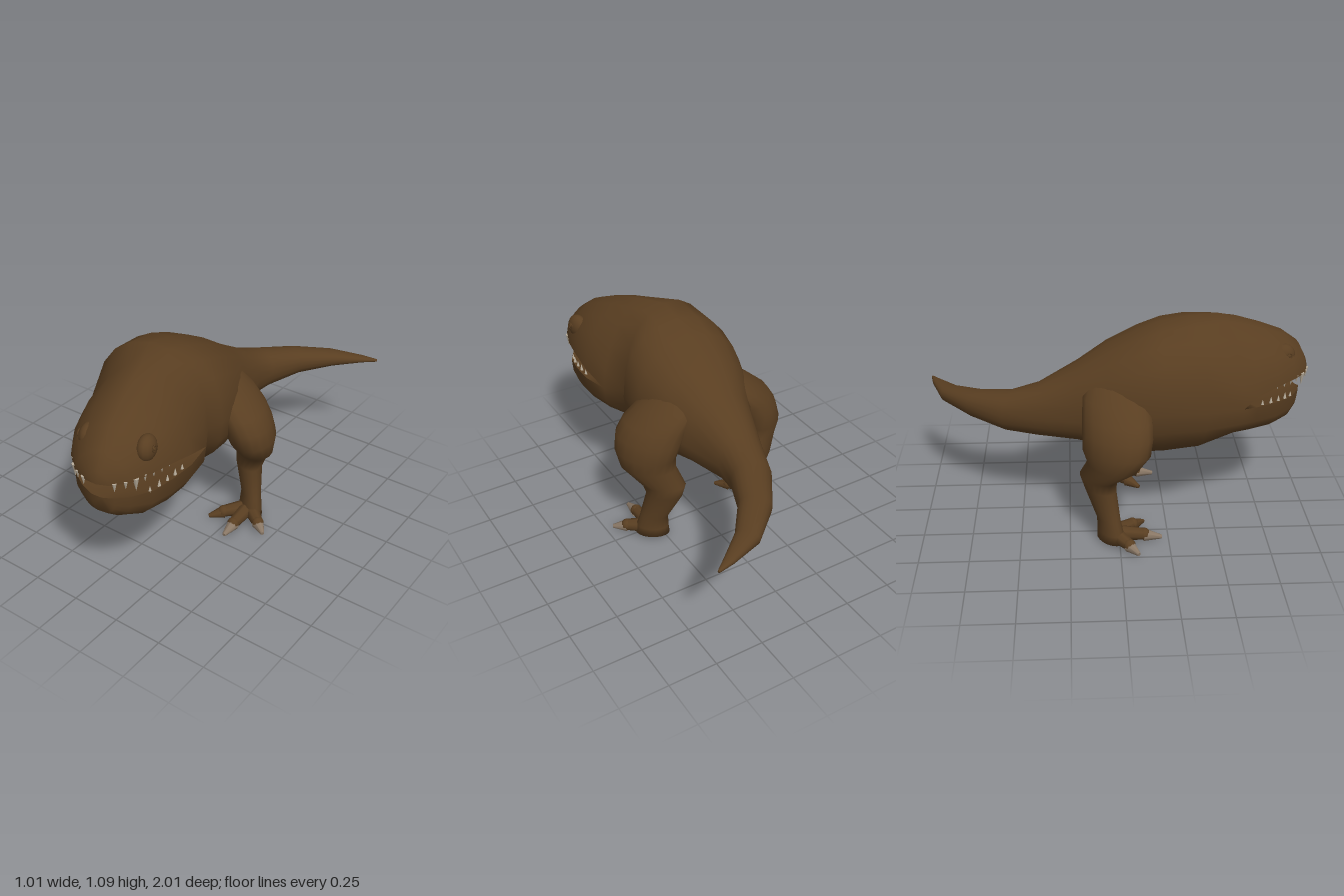
import * as THREE from 'three';
import { mergeGeometries, mergeVertices } from 'three/addons/utils/BufferGeometryUtils.js';

const V = (x, y, z) => new THREE.Vector3(x, y, z);
const material = (name, color) => Object.assign(new THREE.MeshStandardMaterial({ color }), { name });

// Spine stations, tail to jaw hinge: x, z, half width, top, middle, bottom
const BODY = [
  [.495, -1, .006, .562, .555, .548], [.42, -.965, .027, .575, .558, .54],
  [.27, -.88, .06, .6, .56, .515], [.13, -.73, .08, .635, .57, .495],
  [.03, -.55, .1, .675, .57, .465], [-.005, -.4, .12, .73, .58, .455],
  [-.012, -.2, .19, .845, .6, .445], [-.015, -.05, .265, .945, .64, .42],
  [-.02, .1, .308, 1.02, .68, .39], [-.02, .22, .32, 1.065, .7, .39],
  [-.025, .36, .295, 1.09, .69, .41], [.05, .51, .3, 1.075, .67, .47],
];
// Upper head and lower jaw stations, hinge to tip
const SNOUT = [
  [.08, .62, .285, 1.045, .72, .72], [.11, .74, .25, 1.0, .745, .745],
  [.14, .85, .2, .95, .75, .75], [.165, .94, .135, .88, .745, .745],
  [.175, .985, .06, .8, .74, .74],
];
const JAW = [
  [.08, .62, .285, .665, .665, .47], [.11, .74, .25, .66, .66, .47],
  [.14, .84, .195, .65, .65, .485], [.155, .91, .12, .645, .645, .52],
  [.165, .945, .055, .64, .64, .555],
];

// Sideways direction at each station, square to the spine
function sides(st) {
  return st.map((s, i) => {
    const a = st[Math.max(i - 1, 0)], b = st[Math.min(i + 1, st.length - 1)];
    return V(b[1] - a[1], 0, a[0] - b[0]).normalize();
  });
}

// Surface through rows of points
function grid(rows) {
  const n = rows[0].length, index = [];
  for (let i = 0; i < rows.length - 1; i++) for (let j = 0; j < n - 1; j++) {
    const a = i * n + j, d = a + n;
    index.push(a, a + 1, d + 1, a, d + 1, d);
  }
  const g = new THREE.BufferGeometry().setFromPoints(rows.flat());
  return g.setIndex(index);
}
function smooth(...parts) {
  const g = mergeVertices(mergeGeometries(parts), 1e-4);
  g.computeVertexNormals();
  return g;
}

// Upper (sign 1) or lower (sign -1) half of the trunk and head
function half(st, sign) {
  const side = sides(st), N = 10;
  const rows = st.map(([x, z, w, top, mid, bot], i) => {
    // full trunk, sloping brow, boxy jaw
    const p = i < BODY.length - 1 ? .9 : sign > 0 ? 1.18 : .72;
    return Array.from({ length: N + 1 }, (_, j) => {
      const a = Math.PI * j / N, c = Math.cos(a) * sign;
      const u = Math.sign(c) * Math.abs(c) ** p * w;
      const v = j % N ? Math.sin(a) ** p : 0;
      return V(x + side[i].x * u, mid + v * (sign > 0 ? top - mid : bot - mid), z + side[i].z * u);
    });
  });
  const cap = (s, dz) => rows[0].map(() => V(s[0], s[4], s[1] + dz));
  return grid([cap(st[0], 0), ...rows, cap(st.at(-1), .012)]);
}

// Mouth lining between the two lips
function lining(st, sign) {
  const side = sides(st), from = BODY.length - 1;
  return grid(st.slice(from).map(([x, z, w, , mid], i) => {
    const r = side[from + i];
    return [-1, -.5, 0, .5, 1].map(k => V(x + r.x * w * k * sign,
      mid + (i ? sign * .17 * w * (1 - k * k) : 0), z + r.z * w * k * sign));
  }));
}

// Tapered round rod from a to b
function rod(a, b, r0, r1, mat, name, n = 8) {
  const m = new THREE.Mesh(new THREE.CylinderGeometry(r1, r0, a.distanceTo(b), n), mat);
  m.position.copy(a).lerp(b, .5);
  m.quaternion.setFromUnitVectors(V(0, 1, 0), b.clone().sub(a).normalize());
  m.name = name;
  return m;
}
function ball(p, sx, sy, sz, mat, name) {
  const m = new THREE.Mesh(new THREE.SphereGeometry(1, 14, 10), mat);
  m.position.copy(p);
  m.scale.set(sx, sy, sz);
  m.name = name;
  return m;
}

// Leg levels: y, outward distance, z, half width, half depth
const LEG = [
  [.86, .06, -.03, .06, .05], [.8, .13, -.025, .115, .12], [.74, .2, -.015, .125, .155],
  [.67, .265, -.01, .14, .165], [.6, .305, -.01, .145, .165], [.52, .335, -.015, .13, .16],
  [.44, .33, -.035, .125, .115], [.35, .28, -.105, .1, .085], [.28, .272, -.095, .083, .075],
  [.13, .315, -.055, .065, .055], [.06, .32, -.045, .075, .06],
  [.012, .32, -.045, .08, .062], [.006, .32, -.045, .001, .001],
];
function leg(s, skin, claw) {
  const g = new THREE.Group();
  g.name = s > 0 ? 'leftLeg' : 'rightLeg';
  g.position.x = -.02;
  // The outer side of each level is swept forward
  const rows = LEG.map(([y, d, z, w, t]) => Array.from({ length: 19 }, (_, j) => {
    const a = j % 18 / 18 * Math.PI * 2, u = w * Math.cos(a);
    return V(s * d + u, y, z + t * Math.sin(a) + s * u * .35);
  }));
  const limb = new THREE.Mesh(smooth(grid(rows)), skin);
  limb.name = 'limb';
  g.add(limb);
  // Three splayed toes; the inner one ends in bare skin
  for (const [d, z, nail] of [[.485, .09, claw], [.33, .215, claw], [.175, .13, skin]]) {
    const root = V(s * .32, .045, -.035), tip = V(s * d, .018, z);
    const knuckle = root.clone().lerp(tip, .64).setY(.035);
    g.add(rod(root, knuckle, .042, .03, skin, 'toe'));
    g.add(ball(knuckle, .031, .031, .031, skin, 'knuckle'));
    g.add(rod(knuckle.clone().setY(.03), tip, .033, .01, nail, 'claw'));
  }
  return g;
}

// Teeth just inside a lip, spread over a stretch of it from cheek to tip
function teeth(st, sign, start, end, sizes, mat) {
  const g = new THREE.Group(), side = sides(st), from = BODY.length;
  g.name = sign > 0 ? 'lowerTeeth' : 'upperTeeth';
  for (const s of [-1, 1]) {
    const rim = new THREE.CatmullRomCurve3(st.slice(from).map(([x, z, w, , mid], i) =>
      V(x, mid, z).addScaledVector(side[from + i], s * w * .93)));
    sizes.forEach((h, k) => {
      const p = rim.getPointAt(THREE.MathUtils.lerp(start, end, k / (sizes.length - 1)));
      g.add(rod(p.clone().setY(p.y - sign * .008), p.clone().setY(p.y + sign * h),
        .004 + h * .2, .001, mat, 'tooth', 7));
    });
  }
  return g;
}

export function createModel() {
  const skin = material('brownSkin', 0x593e21);
  const claw = material('claw', 0x8a7866);
  const ivory = material('tooth', 0xb9ae9c);
  const model = new THREE.Group();
  model.name = 'reptile';
  const upper = [...BODY, ...SNOUT], lower = [...BODY, ...JAW];

  const body = new THREE.Mesh(smooth(half(upper, 1), half(lower, -1)), skin);
  body.name = 'body';
  const mouth = new THREE.Mesh(smooth(lining(upper, 1), lining(lower, -1)), skin);
  mouth.name = 'mouthLining';
  model.add(body, mouth);

  model.add(teeth(upper, -1, .3, .95, [.022, .028, .028, .03, .055, .03, .035], ivory));
  model.add(teeth(lower, 1, .1, .6, [.022, .028, .025, .03, .022], ivory));

  // Eyes under heavy brows, turned with the head
  const eyes = new THREE.Group();
  eyes.name = 'eyes';
  eyes.position.set(.15, 0, .82);
  eyes.rotation.y = .26;
  for (const s of [-1, 1]) {
    eyes.add(ball(V(s * .138, .85, -.01), .045, .065, .065, skin, 'brow'));
    eyes.add(ball(V(s * .172, .863, .004), .014, .015, .015, skin, 'eyeball'));
    const lid = new THREE.Mesh(new THREE.TorusGeometry(.015, .004, 6, 14), skin);
    lid.name = 'eyelid';
    lid.position.set(s * .18, .863, .004);
    lid.rotation.y = Math.PI / 2;
    eyes.add(lid);
  }
  model.add(eyes);

  model.add(leg(1, skin, claw), leg(-1, skin, claw));
  return model;
}
